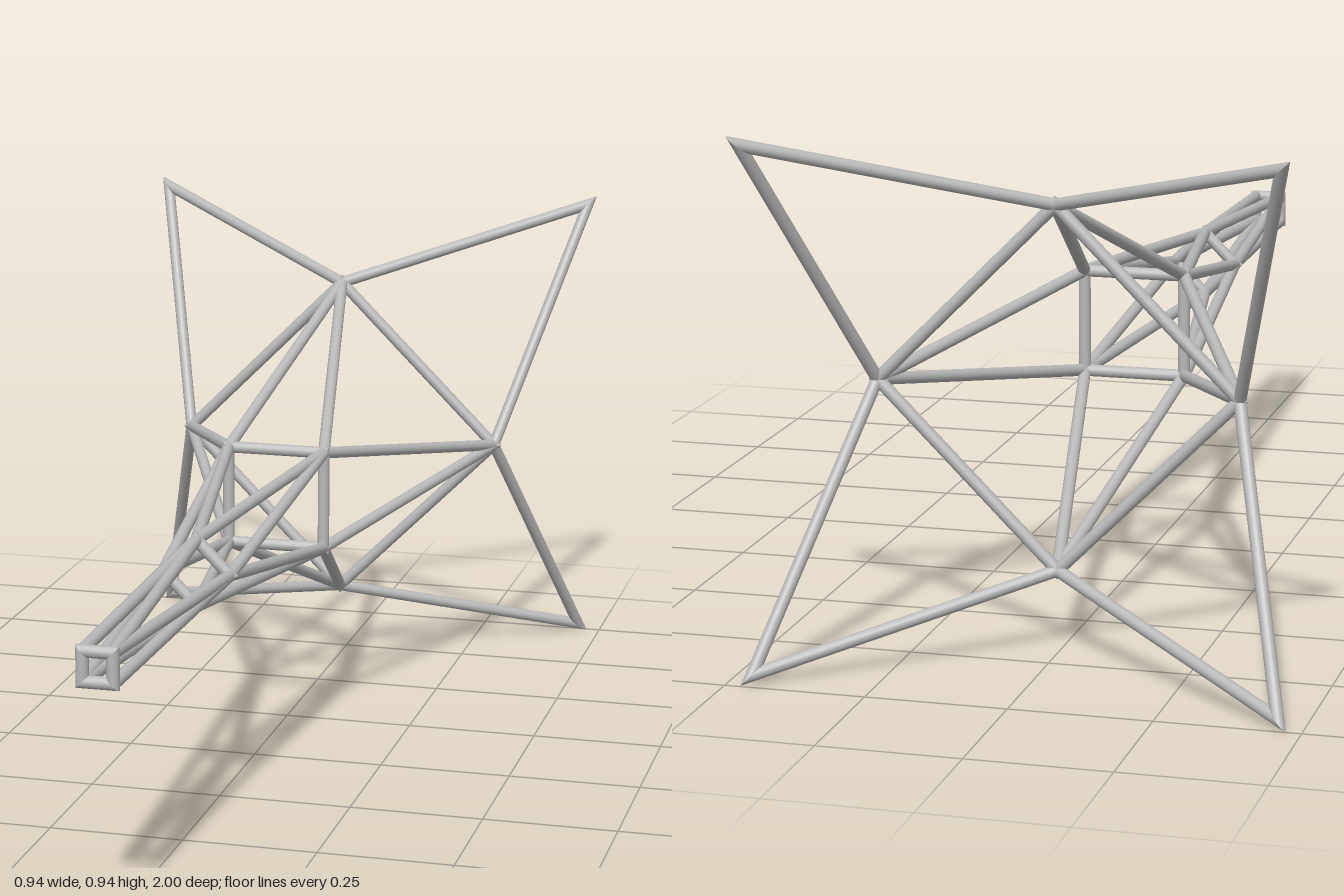
import * as THREE from 'three';

const R = 0.0112; // strut radius
const CY = 0.471; // height of the long axis

const steel = new THREE.MeshStandardMaterial({ color: 0xb8b8b8 });
steel.name = 'light grey steel';

// Strut from a to b; an end given a mitre normal is cut along that plane
function strut(name, a, b, mitreA, mitreB) {
  const dir = b.clone().sub(a);
  const length = dir.length();
  dir.normalize();
  const geo = new THREE.CylinderGeometry(R, R, length, 16);
  const side = Math.abs(dir.z) > 0.9 ? new THREE.Vector3(0, 1, 0) : new THREE.Vector3(0, 0, 1);
  const x = side.cross(dir).normalize();
  const z = x.clone().cross(dir);
  geo.applyMatrix4(new THREE.Matrix4().makeBasis(x, dir, z));
  const mid = a.clone().add(b).multiplyScalar(0.5);
  geo.translate(mid.x, mid.y, mid.z);
  const pos = geo.attributes.position;
  const v = new THREE.Vector3();
  for (let i = 0; i < pos.count; i++) {
    v.fromBufferAttribute(pos, i);
    const atB = v.clone().sub(mid).dot(dir) > 0;
    const p = atB ? b : a;
    const n = atB ? mitreB : mitreA;
    if (!n) continue;
    v.addScaledVector(dir, -v.clone().sub(p).dot(n) / dir.dot(n));
    pos.setXYZ(i, v.x, v.y, v.z);
  }
  const mesh = new THREE.Mesh(geo, steel);
  mesh.name = name;
  return mesh;
}

// Normal of the mitre plane at p between the struts to q and r
function mitre(p, q, r) {
  return q.clone().sub(p).normalize().sub(r.clone().sub(p).normalize()).normalize();
}

// Four corners at distance d from the axis, starting at the given angle
function corners(d, z, start) {
  return [0, 1, 2, 3].map((i) => {
    const t = start + (i * Math.PI) / 2;
    return new THREE.Vector3(d * Math.cos(t), CY + d * Math.sin(t), z);
  });
}
const square = (half, z) => corners(half * Math.SQRT2, z, Math.PI / 4);
const diamond = (d, z) => corners(d, z, 0);

// Closed mitred frame through four corners
function frame(name, p) {
  const group = new THREE.Group();
  group.name = name;
  for (let i = 0; i < 4; i++) {
    const prev = p[(i + 3) % 4], a = p[i], b = p[(i + 1) % 4], next = p[(i + 2) % 4];
    group.add(strut('frameBar', a, b, mitre(a, prev, b), mitre(b, a, next)));
  }
  return group;
}

// Zigzag of rails: each square corner joins its two diamond neighbours
function rails(name, sq, di, pointed) {
  const group = new THREE.Group();
  group.name = name;
  sq.forEach((s, i) => {
    const l = di[i], r = di[(i + 1) % 4];
    const n = pointed ? mitre(s, l, r) : null;
    group.add(strut('rail', l, s, null, n), strut('rail', r, s, null, n));
  });
  return group;
}

export function createModel() {
  const model = new THREE.Group();
  model.name = 'latticeMast';

  const nose = square(0.0265, 0.989);
  const neck = diamond(0.062, 0.4);
  const waist = square(0.095, -0.16);
  const collar = diamond(0.323, -0.69);
  const tips = square(0.456, -0.984);

  // Cross frames
  model.add(frame('noseFrame', nose));
  model.add(frame('neckFrame', neck));
  model.add(frame('waistFrame', waist));
  model.add(frame('collarFrame', collar));

  // Rails between the frames, ending in four pointed legs
  model.add(rails('noseRails', nose, neck, false));
  model.add(rails('neckRails', waist, neck, false));
  model.add(rails('waistRails', waist, collar, false));
  model.add(rails('pointedLegs', tips, collar, true));

  return model;
}
